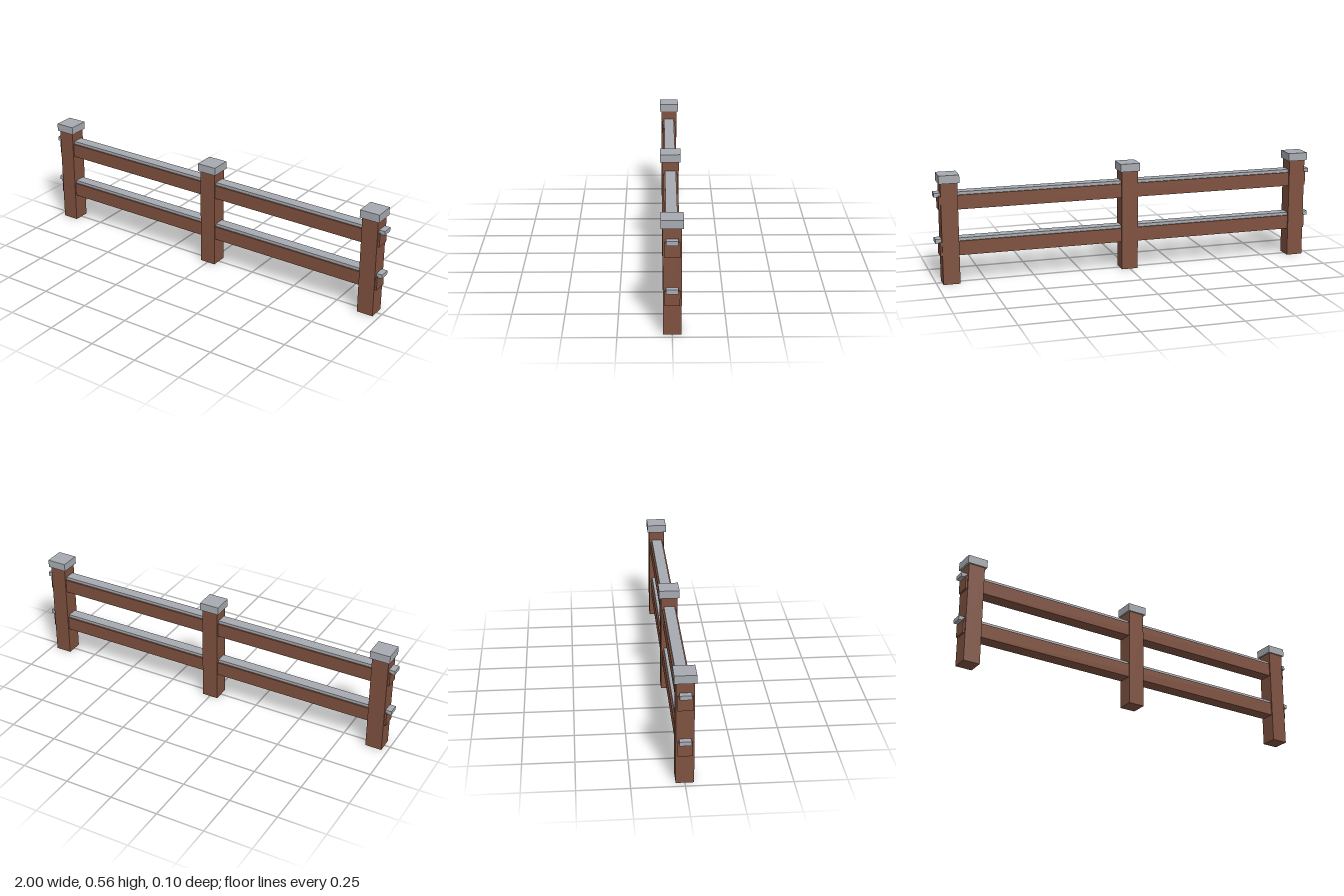
import * as THREE from 'three';

export function createModel() {
  const wood = new THREE.MeshStandardMaterial({ color: 0x7f513f });
  wood.name = 'brown wood';
  const stone = new THREE.MeshStandardMaterial({ color: 0xa7abb1 });
  stone.name = 'pale grey';

  const fence = new THREE.Group();
  fence.name = 'fence';

  // Box standing on a given base height
  function block(name, material, width, height, depth, x, base) {
    const mesh = new THREE.Mesh(new THREE.BoxGeometry(width, height, depth), material);
    mesh.name = name;
    mesh.position.set(x, base + height / 2, 0);
    fence.add(mesh);
  }

  // Three capped posts
  for (const [side, x] of [['right', -0.927], ['middle', 0], ['left', 0.927]]) {
    block(side + 'Post', wood, 0.085, 0.515, 0.085, x, 0);
    block(side + 'PostCap', stone, 0.103, 0.041, 0.103, x, 0.515);
  }

  // Two through-rails, each with a narrower strip sunk slightly into its top
  for (const [level, base] of [['lower', 0.145], ['upper', 0.379]]) {
    block(level + 'Rail', wood, 1.958, 0.072, 0.071, 0, base);
    block(level + 'RailCap', stone, 2, 0.021, 0.055, 0, base + 0.066);
  }

  return fence;
}
